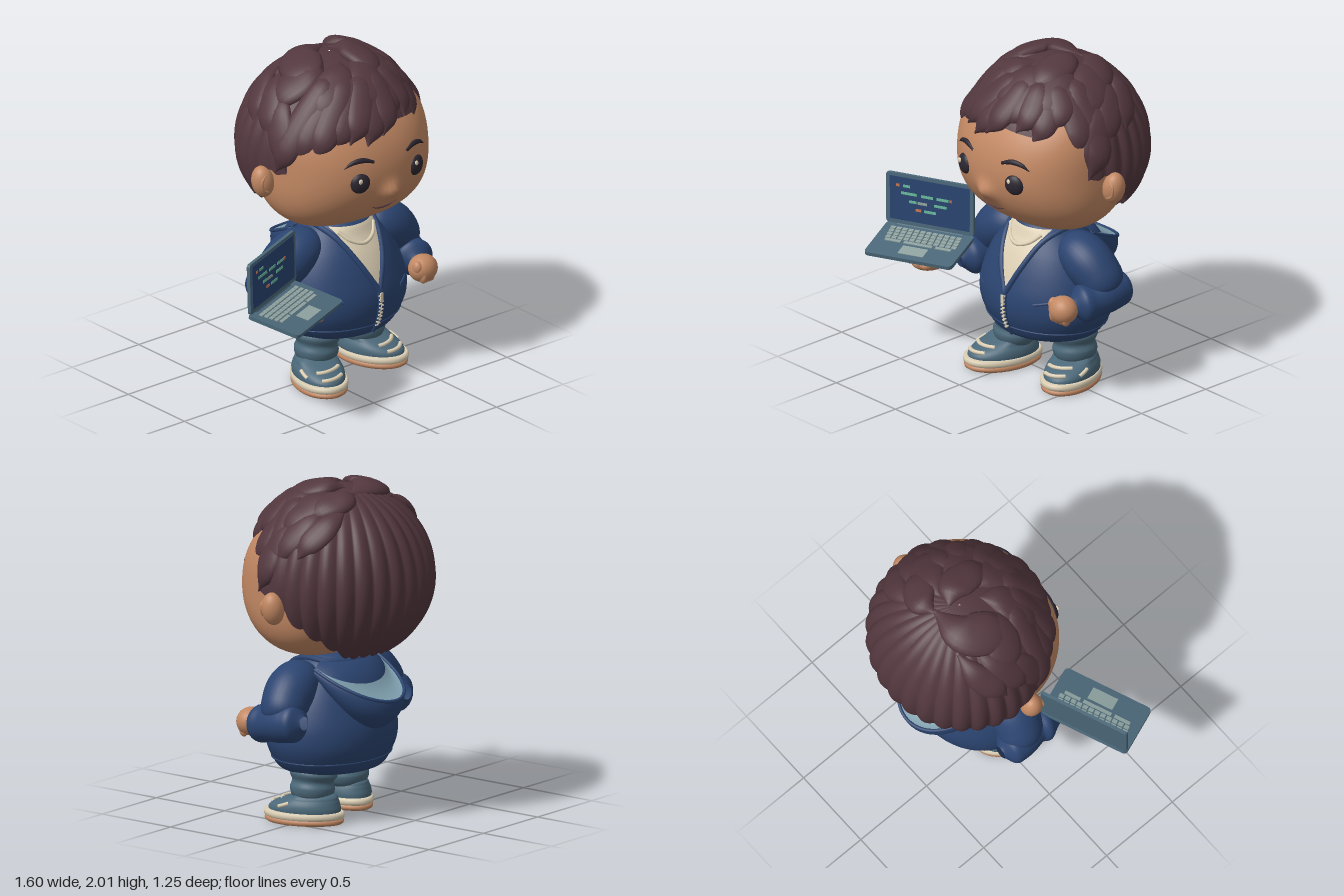
import * as THREE from 'three';
import { ParametricGeometry } from 'three/addons/geometries/ParametricGeometry.js';

const V = (x, y, z) => new THREE.Vector3(x, y, z);
const material = (name, color, side = THREE.FrontSide) => {
  const m = new THREE.MeshStandardMaterial({ color, side });
  m.name = name;
  return m;
};

export function createModel() {
  const skin = material('skin', 0xc28863), hairMat = material('hair brown', 0x52373e);
  const navy = material('navy cloth', 0x2b4470, THREE.DoubleSide), slate = material('slate blue', 0x4b6879);
  const dark = material('eye dark', 0x2c2630), cream = material('cream', 0xdccfb4);
  const lining = material('hood lining', 0x7c9cab, THREE.DoubleSide), keyMat = material('key grey', 0x8fa3a0);
  const mint = material('mint', 0x68b89c), orange = material('orange', 0xc4764f);

  const root = new THREE.Group();
  root.name = 'boyWithLaptop';
  const body = new THREE.Group();
  body.name = 'boy';
  body.position.x = 0.172;
  root.add(body);

  const add = (name, geo, mat, parent = body) => {
    const m = new THREE.Mesh(geo, mat);
    m.name = name;
    parent.add(m);
    return m;
  };
  const surface = (fn, nu, nv) => new ParametricGeometry((u, v, p) => p.copy(fn(u, v)), nu, nv);
  const ball = (name, mat, pos, size) => {
    const m = add(name, new THREE.SphereGeometry(1, 28, 18), mat);
    m.position.set(...pos);
    m.scale.set(...size);
    return m;
  };
  const box = (name, mat, pos, size, parent) => {
    const m = add(name, new THREE.BoxGeometry(...size), mat, parent);
    m.position.set(...pos);
    return m;
  };
  const along = (list) => {
    const c = new THREE.SplineCurve(list.map((r, i) => new THREE.Vector2(i, r)));
    return (t) => Math.max(0.001, c.getPoint(t).y);
  };
  // Sweep an ellipse with changing width and height along a smooth path
  const sweep = (pts, widths, heights, ref, nu = 20, nv = 28) => {
    const path = new THREE.CatmullRomCurve3(pts), w = along(widths), h = along(heights);
    return surface((u, v) => {
      const p = path.getPoint(v), t = path.getTangent(v);
      const s = t.clone().cross(ref.isVector3 ? ref : ref(p)).normalize();
      const n = s.clone().cross(t), a = u * Math.PI * 2;
      return p.addScaledVector(s, Math.cos(a) * w(v)).addScaledVector(n, -Math.sin(a) * h(v));
    }, nu, nv);
  };
  const tube = (name, pts, r, mat, closed = false, parent = body) =>
    add(name, new THREE.TubeGeometry(new THREE.CatmullRomCurve3(pts, closed), 48, r, 8, closed), mat, parent);

  // Head, with the nose as a soft bump in its surface
  const E = 2.2, HY = 1.38;
  const headSize = (t) => [0.51 * (1 - Math.abs(t) ** 3) ** (1 / 3), 0.46 * Math.sqrt(1 - t * t)];
  const power = (c) => Math.sign(c) * Math.abs(c) ** (2 / E);
  add('head', surface((u, v) => {
    const t = -Math.cos(Math.PI * (0.01 + 0.98 * v)), [rx, rz] = headSize(t), a = u * Math.PI * 2 + Math.PI;
    const p = V(rx * power(Math.sin(a)), HY + t * (t < 0 ? 0.41 : 0.46), rz * power(Math.cos(a)));
    if (p.z > 0) p.z += 0.05 * Math.exp(-((p.x / 0.065) ** 2) - ((p.y - 1.262) / 0.06) ** 2);
    return p;
  }, 128, 80), skin);
  const faceZ = (x, y) => {
    const [rx, rz] = headSize((y - HY) / (y < HY ? 0.41 : 0.46));
    return rz * (1 - Math.abs(x / rx) ** E) ** (1 / E);
  };
  const onFace = (x, y) => V(x, y, faceZ(x, y));
  add('mouth', sweep([[-0.09, 1.167], [-0.05, 1.15], [0, 1.145], [0.05, 1.15], [0.09, 1.167]]
    .map(([x, y]) => onFace(x, y)), [0.002, 0.007, 0.002], [0.003, 0.012, 0.003], V(0, 0, 1), 10), hairMat);
  for (const s of [-1, 1]) {
    ball('eye', dark, [s * 0.208, 1.362, faceZ(0.208, 1.362) - 0.008], [0.061, 0.062, 0.032]).rotation.y = s * 0.3;
    ball('eyeGlint', cream, [s * 0.208 - 0.018, 1.384, faceZ(0.208, 1.384) + 0.02], [0.014, 0.016, 0.008]);
    add('eyebrow', sweep([[0.12, 1.478], [0.19, 1.499], [0.25, 1.49], [0.295, 1.462]]
      .map(([x, y]) => onFace(s * x, y)), [0.009, 0.016, 0.013, 0.003], [0.006, 0.014, 0.012, 0.003], V(0, 0, 1), 12), dark);
    ball('ear', skin, [s * 0.555, 1.32, -0.035], [0.066, 0.098, 0.066]).rotation.z = -s * 0.18;
    tube('earFold', [V(s * 0.57, 1.375, 0.012), V(s * 0.6, 1.34, 0.015), V(s * 0.59, 1.29, 0.015), V(s * 0.56, 1.27, 0.018)], 0.008, skin);
  }

  // Hair cap: pole at the crown, uneven lower edge, ribs round the back
  const HC = V(0, 1.42, -0.1);
  const hairPoint = (a, phi, k = 1) => {
    const c = Math.cos(a), q = Math.sin(phi) * k, y = Math.cos(phi);
    return V(0.54 * Math.sin(a) * q, y * k * (y > 0 ? 0.54 : 0.5), c * q * (c > 0 ? 0.56 : 0.505)).add(HC);
  };
  const phiAt = (y) => Math.acos((y - HC.y) / (y > HC.y ? 0.54 : 0.5));
  const edges = [[0, 1.68], [0.7, 1.64], [1.02, 1.56], [1.16, 1.4], [1.3, 1.38], [1.45, 1.42], [1.57, 1.31], [1.75, 1.22], [2.36, 1.01], [3.15, 1.02]];
  const edgeY = (a) => {
    const i = Math.max(1, edges.findIndex((e) => e[0] >= a)), [a0, y0] = edges[i - 1], [a1, y1] = edges[i];
    return y0 + (y1 - y0) * (a - a0) / (a1 - a0);
  };
  add('hairCap', surface((u, v) => {
    const a = (u * 2 - 1) * Math.PI, b = Math.abs(a);
    const rib = THREE.MathUtils.smoothstep(b, 1.2, 1.6) * Math.abs(Math.cos(a * 15));
    const e = phiAt(edgeY(b)) + rib * 0.05, w = Math.max(0, (v - 0.04) / 0.96);
    const phi = e + (0.01 - e) * w;
    return hairPoint(a, phi, v < 0.03 ? 0.88 : 1 + 0.042 * rib * Math.sin(phi) ** 2);
  }, 240, 32), hairMat);

  // Hair locks: flattened leaves that follow the cap
  const lock = (pts, width, lift = 0.036, k = 1) => add('hairLock', sweep(
    pts.map(([a, p]) => hairPoint(a, p, k)),
    [0.01, width * 0.75, width, width * 0.8, 0.004], [0.006, lift, lift, lift * 0.9, 0.008],
    (p) => p.clone().sub(HC), 16, 20), hairMat);
  const tips = [1.39, 1.47, 1.5, 1.56, 1.59, 1.57, 1.61, 1.68, 1.66, 1.61, 1.69, 1.54, 1.39];
  tips.forEach((y, i) => {
    const a = -1.25 + i * 2.5 / (tips.length - 1), start = a * 0.7 + 0.3, e = phiAt(y);
    lock([[start, 0.4], [start * 0.6 + a * 0.4, 0.65], [a + 0.06, e * 0.82], [a - 0.07, e]], 0.09, 0.042, 0.995 - (i % 2) * 0.015);
  });
  for (let i = 0; i < 5; i++) {
    const a = -1.55 + i * 0.72;
    lock([[a + 0.6, 0.22], [a + 0.3, 0.48], [a + 0.08, 0.74], [a - 0.12, 0.98 + (i % 2) * 0.1]], 0.115, 0.042, 0.99);
  }
  lock([[2.6, 0.3], [-2.2, 0.32], [-1.4, 0.45], [-1, 0.7]], 0.13, 0.045);
  lock([[2.5, 0.12], [1.2, 0.2], [0.6, 0.4], [0.3, 0.65]], 0.11, 0.05, 1.005);
  lock([[2.7, 0.3], [2.3, 0.42], [1.9, 0.55], [1.6, 0.75]], 0.1, 0.045);
  for (const s of [-1, 1]) {
    lock([[s * 2.35, 0.55], [s * 2.05, 0.8], [s * 1.85, 1], [s * 1.72, 1.2]], 0.085, 0.035, 1.012);
    lock([[s * 1.95, 0.5], [s * 1.7, 0.8], [s * 1.52, 1.05], [s * 1.42, 1.3]], 0.09, 0.036, 0.995);
    lock([[s * 1.5, 0.7], [s * 1.38, 1], [s * 1.27, 1.3], [s * 1.2, 1.6]], 0.085, 0.03, 0.995);
  }

  // Jacket torso: (half width, height, half depth)
  const profile = new THREE.CatmullRomCurve3([[0.02, 0.292, 0.02], [0.27, 0.295, 0.23], [0.335, 0.31, 0.28], [0.385, 0.37, 0.315],
    [0.423, 0.46, 0.345], [0.423, 0.56, 0.347], [0.39, 0.68, 0.315], [0.33, 0.8, 0.265], [0.25, 0.9, 0.205], [0.18, 0.965, 0.17], [0.1, 1, 0.1]]
    .map((p) => V(...p)));
  const TZ = -0.024;
  add('jacketTorso', surface((u, v) => {
    const p = profile.getPoint(v), a = u * Math.PI * 2;
    return V(p.x * Math.sin(a), p.y, TZ + p.z * Math.cos(a));
  }, 64, 50), navy);
  const ringAt = (y) => {
    let lo = 0.1, hi = 1;
    for (let i = 0; i < 40; i++) {
      const m = (lo + hi) / 2;
      if (profile.getPoint(m).y < y) lo = m; else hi = m;
    }
    return profile.getPoint(lo);
  };
  const onTorso = (x, y, d = 0) => {
    const r = ringAt(y);
    return V(x, y, TZ + r.z * Math.sqrt(Math.max(0, 1 - (x / r.x) ** 2)) + d);
  };
  const hem = ringAt(0.37);
  tube('hemSeam', Array.from({ length: 24 }, (_, i) => V(hem.x * Math.sin(i * Math.PI / 12), 0.37, TZ + hem.z * Math.cos(i * Math.PI / 12))), 0.006, navy, true);

  // Shirt, collar, zip and pockets
  add('shirt', surface((u, v) => {
    const y = 0.59 + 0.37 * v;
    return onTorso(0.02 * (1 - v) + (u * 2 - 1) * (0.008 + 0.15 * v), y, 0.008);
  }, 16, 16), cream);
  tube('shirtCollar', [[-0.13, 0.935], [-0.08, 0.885], [0, 0.86], [0.08, 0.885], [0.13, 0.935]].map(([x, y]) => onTorso(x, y, 0.008)), 0.012, cream);
  const lapel = (s) => [onTorso(s * 0.085 + 0.01, 0.76, 0.008), onTorso(s * 0.15, 0.9, 0.008), V(s * 0.19, 0.955, 0.02), V(s * 0.17, 0.95, -0.14)];
  const end = onTorso(0.02, 0.59, 0.006);
  tube('jacketCollar', [end, ...lapel(-1), V(0, 0.94, -0.21), ...lapel(1).reverse(), end.clone()], 0.017, navy);
  tube('frontPlacket', [0.6, 0.52, 0.44, 0.37, 0.32].map((y) => onTorso(0.02, y)), 0.014, navy);
  for (let i = 0; i < 18; i++) {
    const p = onTorso(0.02 + (i % 2 ? 0.006 : -0.006), 0.37 + i * 0.012, 0.015);
    box('zipTooth', cream, p.toArray(), [0.017, 0.008, 0.01], body);
  }
  box('zipPull', cream, onTorso(0.02, 0.555, 0.02).toArray(), [0.02, 0.055, 0.008], body);
  for (const s of [-1, 1]) tube('pocket', [onTorso(s * 0.21, 0.56), onTorso(s * 0.25, 0.57), onTorso(s * 0.29, 0.58)], 0.008, navy);

  // Hood hanging down the back; each row is x, y, sag, z, reach
  const hood = (a, b, c) => surface((u, v) => {
    const g = (u - 0.5) * Math.PI, s = Math.sin(g), k = Math.cos(g);
    const at = (q) => V(q[0] * s, q[1] - q[2] * k, q[3] - q[4] * k);
    return new THREE.QuadraticBezierCurve3(at(a), at(b), at(c)).getPoint(v);
  }, 32, 12);
  const rim = [0.28, 0.92, 0.18, -0.12, 0.375], fold = [0.265, 0.925, 0.1, -0.12, 0.21];
  add('hoodShell', hood(rim, [0.31, 0.88, 0.28, -0.13, 0.38], [0.24, 0.85, 0.3, -0.13, 0.21]), navy);
  add('hoodLining', hood(fold, [0.27, 0.92, 0.17, -0.12, 0.28], rim), lining);
  add('hoodCollar', hood([0.17, 0.965, 0.005, -0.1, 0.1], [0.23, 0.955, 0.04, -0.11, 0.18], fold), navy);
  tube('hoodRim', Array.from({ length: 13 }, (_, i) => {
    const g = (i / 12 - 0.5) * Math.PI;
    return V(rim[0] * Math.sin(g), rim[1] - rim[2] * Math.cos(g), rim[3] - rim[4] * Math.cos(g));
  }), 0.01, navy);

  // Arms: a hanging upper sleeve and a forward forearm with a cuff
  const upperR = [0.06, 0.125, 0.145, 0.14, 0.125, 0.06], foreR = [0.04, 0.105, 0.115, 0.113, 0.103, 0.11, 0.045];
  for (const s of [-1, 1]) {
    add('upperSleeve', sweep([V(s * 0.14, 0.84, -0.02), V(s * 0.32, 0.82, -0.01), V(s * 0.44, 0.72, -0.03), V(s * 0.478, 0.61, -0.06)],
      upperR, upperR, V(0, 0, 1), 32, 32), navy);
    add('foreSleeve', sweep([V(s * 0.475, 0.65, -0.2), V(s * 0.48, 0.64, -0.1), V(s * 0.47, 0.61, 0.06), s > 0 ? V(0.435, 0.595, 0.185) : V(-0.505, 0.59, 0.2)],
      foreR, foreR, V(0, 1, 0), 32, 36), navy);
  }
  ball('leftHand', skin, [0.42, 0.59, 0.235], [0.09, 0.082, 0.08]);
  for (let i = 0; i < 4; i++) ball('leftFinger', skin, [0.385 + i * 0.026, 0.565 - i * 0.004, 0.275 - i * 0.008], [0.022, 0.05, 0.032]);
  ball('leftThumb', skin, [0.36, 0.615, 0.255], [0.028, 0.04, 0.035]);
  ball('rightHand', skin, [-0.59, 0.605, 0.35], [0.1, 0.052, 0.115]);
  for (let i = 0; i < 4; i++) ball('rightFinger', skin, [-0.66 + i * 0.045, 0.612, 0.41], [0.03, 0.032, 0.055]);
  ball('rightThumb', skin, [-0.5, 0.62, 0.34], [0.03, 0.03, 0.06]);

  // Legs and shoes; soles widen towards the toe
  const solePart = (y0, y1, r0, r1) => {
    const ym = (y0 + y1) / 2, geo = new THREE.LatheGeometry([[0, y0], [r0, y0], [r1 - 0.01, y0 + 0.008], [r1, ym], [r1 - 0.01, y1 - 0.006], [r0, y1], [0, y1]]
      .map((p) => new THREE.Vector2(...p)), 48).scale(0.155, 1, 0.24);
    const pos = geo.attributes.position;
    for (let i = 0; i < pos.count; i++) pos.setX(i, pos.getX(i) * (0.97 + 0.3 * pos.getZ(i)));
    return geo;
  };
  for (const [s, legZ, x, z] of [[-1, 0.03, -0.245, 0.093], [1, -0.05, 0.23, -0.008]]) {
    const r = [0.135, 0.145, 0.147, 0.132, 0.138, 0.12, 0.13, 0.12, 0.09];
    add('trouserLeg', sweep([V(s * 0.18, 0.4, legZ - 0.01), V(s * 0.2, 0.28, legZ), V(s * 0.215, 0.12, legZ)], r, r, V(0, 0, 1), 32, 36), slate);
    const shoe = new THREE.Group();
    shoe.name = s < 0 ? 'rightShoe' : 'leftShoe';
    shoe.position.set(x, 0, z);
    shoe.rotation.y = s * 0.3;
    body.add(shoe);
    add('outsole', solePart(0, 0.034, 0.93, 0.99), skin, shoe);
    add('midsole', solePart(0.03, 0.072, 0.95, 1.01), cream, shoe);
    const front = along([0.218, 0.21, 0.175, 0.115, 0.05, 0.01]), back = along([0.218, 0.218, 0.212, 0.205, 0.19, 0.12]);
    const half = along([0.14, 0.142, 0.138, 0.126, 0.11, 0.05]);
    const upper = (a, v, d = 0) => {
      const c = Math.cos(a);
      return V((half(v) + d) * Math.sin(a), 0.065 + 0.125 * v, c * ((c > 0 ? front(v) : back(v)) + d));
    };
    add('upper', surface((u, v) => upper(u * Math.PI * 2, v), 40, 20), slate, shoe);
    // Lace stripes across the toe and one on the outer side
    [[0.33, 0.5], [0.55, 0.62]].forEach(([v, w]) => tube('laceStripe',
      [-1, -0.5, 0, 0.5, 1].map((k) => upper(k * w - s * 0.1, v + k * 0.04, 0.002)), 0.012, cream, false, shoe));
    tube('sideStripe', [0.95, 1.1, 1.25].map((a, i) => upper(s * a, 0.3 + i * 0.1, 0.002)), 0.011, cream, false, shoe);
  }

  // Laptop
  const laptop = new THREE.Group();
  laptop.name = 'laptop';
  laptop.position.set(-0.48, 0.68, 0.372);
  laptop.rotation.set(0.19, 0.385, 0.015, 'YXZ');
  root.add(laptop);
  const slab = (w, h, d, r) => {
    const p = new THREE.Shape(), x = w / 2, y = h / 2;
    p.moveTo(-x + r, -y).lineTo(x - r, -y).quadraticCurveTo(x, -y, x, -y + r).lineTo(x, y - r).quadraticCurveTo(x, y, x - r, y);
    p.lineTo(-x + r, y).quadraticCurveTo(-x, y, -x, y - r).lineTo(-x, -y + r).quadraticCurveTo(-x, -y, -x + r, -y);
    return new THREE.ExtrudeGeometry(p, { depth: d, bevelEnabled: false }).translate(0, 0, -d / 2);
  };
  add('laptopBase', slab(0.555, 0.335, 0.022, 0.03).rotateX(-Math.PI / 2), slate, laptop);
  for (let row = 0; row < 4; row++) {
    for (let i = 0; i < 12; i++) box('key', keyMat, [-0.215 + i * 0.038 + row * 0.004, 0.013, -0.108 + row * 0.031], [0.03, 0.008, 0.023], laptop);
  }
  [[-0.16, 0.1], [0, 0.18], [0.16, 0.1]].forEach(([x, w]) => box('wideKey', keyMat, [x, 0.013, 0.015], [w, 0.008, 0.02], laptop));
  box('trackpad', keyMat, [0, 0.012, 0.085], [0.16, 0.005, 0.08], laptop);
  const lid = new THREE.Group();
  lid.name = 'laptopLid';
  lid.position.set(0, 0.008, -0.155);
  lid.rotation.x = -0.21;
  laptop.add(lid);
  add('lidPanel', slab(0.555, 0.31, 0.02, 0.02).translate(0, 0.165, 0), slate, lid);
  box('screen', navy, [0, 0.168, 0.011], [0.505, 0.266, 0.004], lid);
  const hinge = add('hinge', new THREE.CylinderGeometry(0.012, 0.012, 0.42, 12), slate, lid);
  hinge.rotation.z = Math.PI / 2;
  // Coloured bars on the screen: x, y, width
  [[orange, -0.2, 0.25, 0.02], [mint, -0.145, 0.25, 0.045], [mint, -0.13, 0.205, 0.1], [mint, -0.015, 0.203, 0.075], [mint, 0.085, 0.203, 0.075],
    [orange, 0.135, 0.204, 0.015], [mint, -0.105, 0.158, 0.045], [keyMat, -0.045, 0.157, 0.06], [mint, 0.07, 0.158, 0.08],
    [orange, -0.07, 0.112, 0.035], [mint, 0.005, 0.112, 0.075]]
    .forEach(([m, x, y, w]) => box('screenBar', m, [x, y, 0.014], [w, 0.016, 0.004], lid));

  return root;
}
